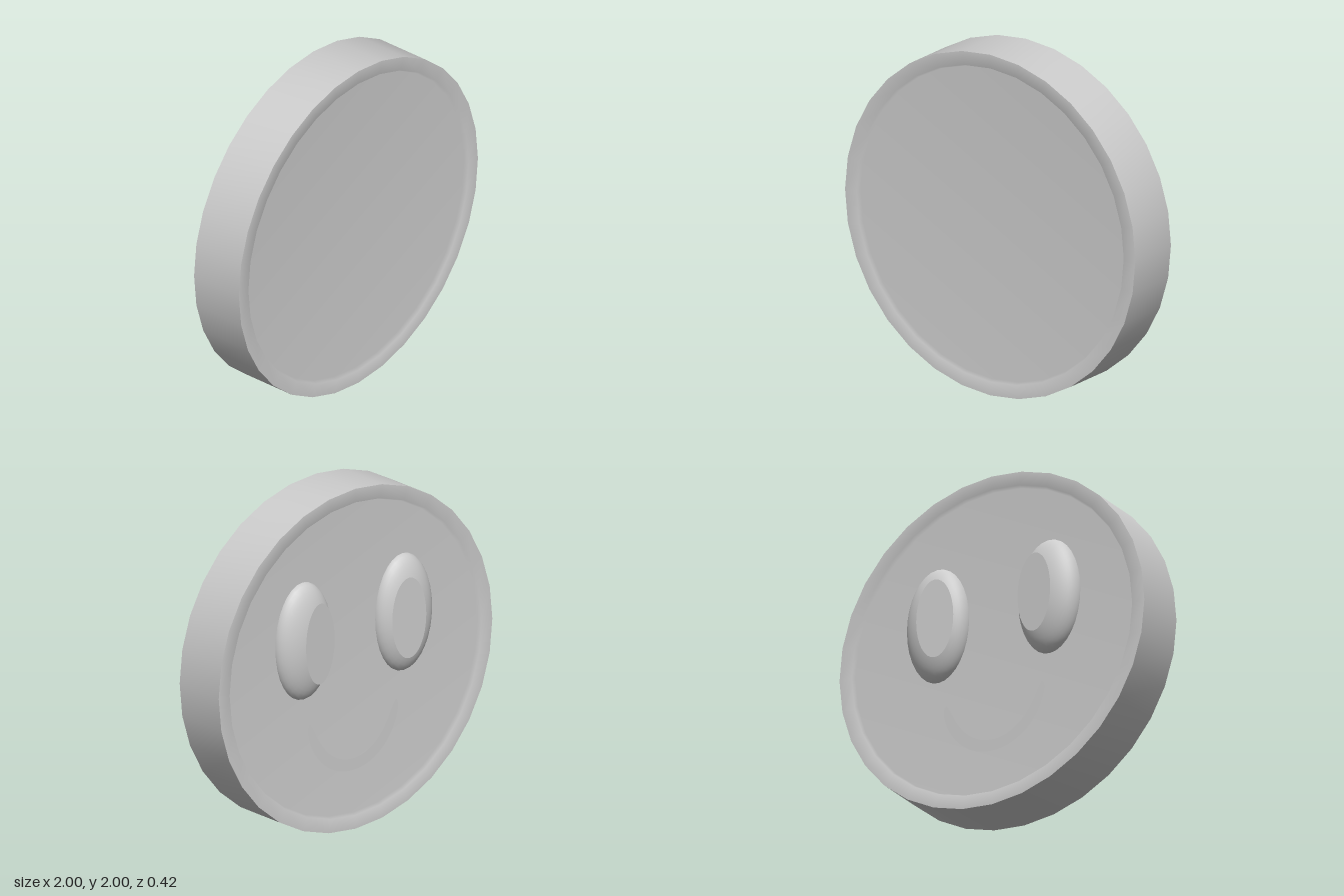
import * as THREE from 'three';
import { mergeVertices } from 'three/addons/utils/BufferGeometryUtils.js';

const SIDES = 32;
const FRONT = 0.21, BACK = -0.12, RECESS = 0.025;

// Revolve [radius, z] points about the z axis, with area-weighted smooth normals
function revolve(points) {
  let geo = new THREE.LatheGeometry(points.map(([r, z]) => new THREE.Vector2(r, z)), SIDES);
  geo.deleteAttribute('uv');
  geo.deleteAttribute('normal');
  geo = mergeVertices(geo, 1e-4);
  geo.computeVertexNormals();
  return geo.rotateX(Math.PI / 2);
}

export function createModel() {
  const grey = new THREE.MeshStandardMaterial({ color: 0xcccccc, side: THREE.DoubleSide });
  grey.name = 'plain grey';

  const model = new THREE.Group();
  model.name = 'smilingDisc';
  const add = (name, geo) => {
    const mesh = new THREE.Mesh(geo, grey);
    mesh.name = name;
    model.add(mesh);
    return mesh;
  };

  // Disc body: raised rim around a shallow recess on each side
  add('backFace', revolve([[0, BACK + RECESS], [0.91, BACK + RECESS], [0.92, BACK], [1, BACK]])).position.y = 1;
  add('outerWall', revolve([[1, BACK], [1, FRONT]])).position.y = 1;
  add('frontFace', revolve([[1, FRONT], [0.92, FRONT], [0.91, FRONT - RECESS], [0, FRONT - RECESS]])).position.y = 1;

  // Domed eyes with flat, slightly turned pupils
  for (const side of [1, -1]) {
    const label = side > 0 ? 'left' : 'right';
    const dome = new THREE.SphereGeometry(1, 32, 12, 0, Math.PI * 2, 0, Math.PI / 2)
      .rotateX(-Math.PI / 2)
      .scale(0.2, 0.345, 0.11);
    add(label + 'Eye', dome).position.set(side * 0.365, 1.185, -0.09);

    const pupil = new THREE.CircleGeometry(1, 32).rotateY(Math.PI).scale(0.115, 0.237, 1);
    const mesh = add(label + 'Pupil', pupil);
    mesh.position.set(side * 0.325, 1.185, -0.199);
    mesh.rotation.y = side * 0.1;
  }

  // Smile: mirrored half outline, smoothed by a closed curve
  const outer = [[0.12, 0.362], [0.23, 0.435], [0.307, 0.55], [0.33, 0.65]];
  const inner = [[0.29, 0.65], [0.245, 0.565], [0.175, 0.478], [0.09, 0.425]];
  const half = [...outer, [0.316, 0.684], ...inner];
  const outline = [
    [0, 0.339], ...half, [0, 0.408],
    ...half.map(([x, y]) => [-x, y]).reverse(),
  ].map(([x, y]) => new THREE.Vector3(x, y, 0));
  const curve = new THREE.CatmullRomCurve3(outline, true);
  const shape = new THREE.Shape(curve.getPoints(80).slice(0, -1).map((p) => new THREE.Vector2(p.x, p.y)));
  const smile = new THREE.ShapeGeometry(shape).rotateY(Math.PI);
  add('smile', smile).position.z = BACK + RECESS - 0.003;

  return model;
}
